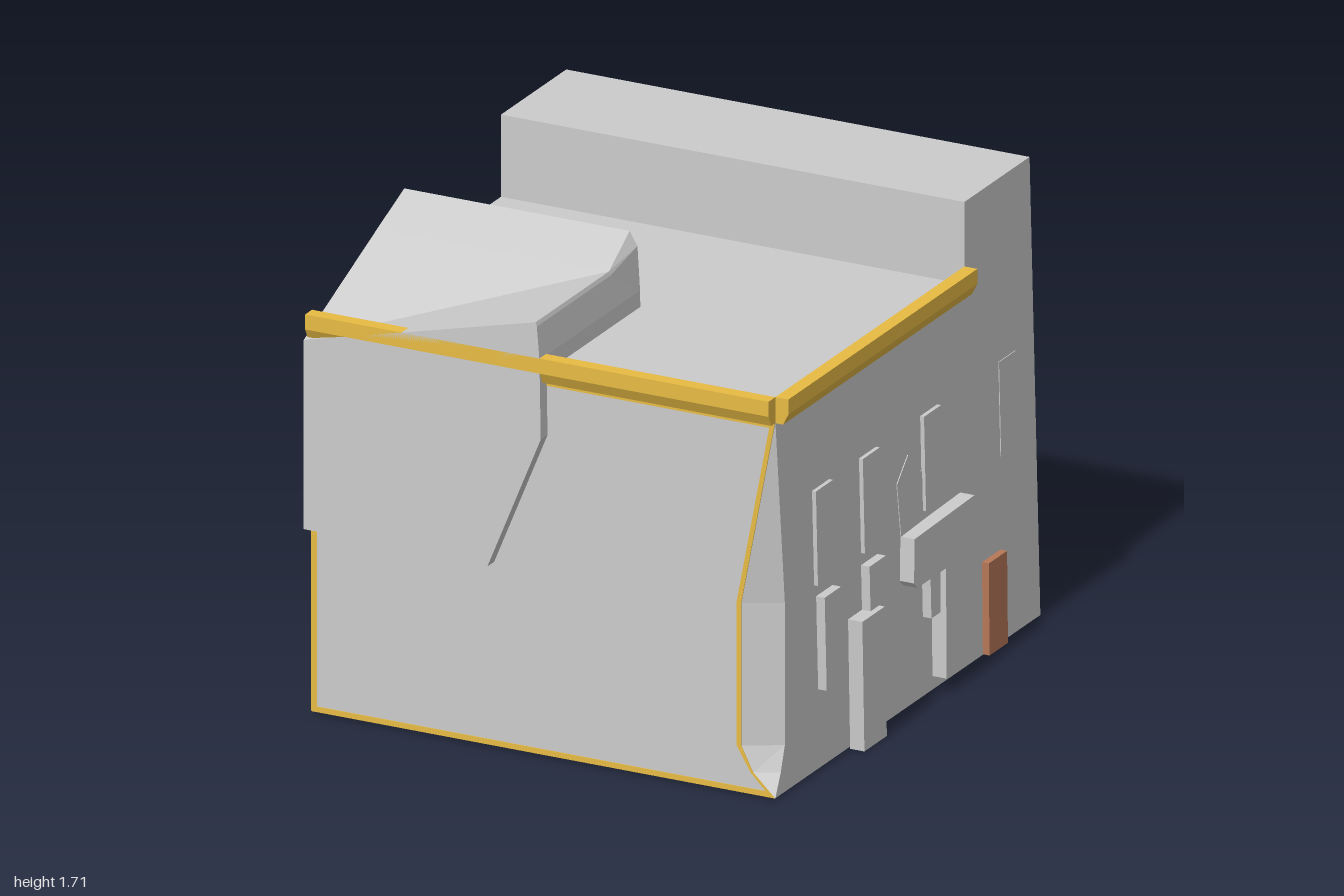
import * as THREE from 'three';

const material = (color) => new THREE.MeshStandardMaterial({ color, flatShading: true });
const grey = material(0xcccccc), yellow = material(0xe8bc44), brown = material(0xb87858);
const green = material(0xc8d0a8), dark = material(0x333333);

// Joins equal-length rings of [x, y, z] points, which run counter-clockwise, and caps both ends
function loft(rings) {
  const pos = [], n = rings[0].length;
  const tri = (...points) => points.forEach((p) => pos.push(...p));
  for (let i = 0; i < rings.length - 1; i++) {
    const a = rings[i], b = rings[i + 1];
    for (let j = 0; j < n; j++) {
      const k = (j + 1) % n;
      tri(a[j], a[k], b[k]);
      tri(a[j], b[k], b[j]);
    }
  }
  const first = rings[0], last = rings[rings.length - 1];
  for (let j = 1; j < n - 1; j++) {
    tri(first[0], first[j + 1], first[j]);
    tri(last[0], last[j], last[j + 1]);
  }
  const geometry = new THREE.BufferGeometry();
  geometry.setAttribute('position', new THREE.Float32BufferAttribute(pos, 3));
  geometry.computeVertexNormals();
  return geometry;
}

const shapeOf = (points) => new THREE.Shape(points.map(([x, y]) => new THREE.Vector2(x, y)));
const extrude = (shape, depth) => new THREE.ExtrudeGeometry(shape, { depth, bevelEnabled: false });

export function createModel() {
  const model = new THREE.Group();
  const add = (name, geometry, mat = grey, parent = model) => {
    const mesh = new THREE.Mesh(geometry, mat);
    mesh.name = name;
    parent.add(mesh);
    return mesh;
  };
  const L = -0.92, R = 0.86, F = 0.95;
  const backZ = (y) => -1 + 0.08 * y / 1.71;

  // Main block: leaning back wall and a hollowed front corner (height, cut in x, cut in z)
  const levels = [[0.01, 0.001, 0.001], [0.09, 0.085, 0.04], [0.18, 0.13, 0.07],
    [0.7, 0.13, 0.07], [1.38, 0.001, 0.001], [1.41, 0.001, 0.001]];
  add('mainBlock', loft(levels.map(([y, cx, cz]) => [
    [L, y, F], [R - cx, y, F], [R, y, F - cz], [R, y, backZ(y)], [L, y, backZ(y)],
  ])));

  // Raised parapet along the back
  add('backParapet', loft([1.4, 1.71].map((y) => [
    [L, y, -0.44], [R, y, -0.44], [R, y, backZ(y)], [L, y, backZ(y)],
  ])));

  // Thin frame around the front wall, following the hollowed corner
  const frame = shapeOf([[L, 0.01], ...levels.slice(0, 5).map(([y, cx]) => [R - cx, y]), [L, 1.38]]);
  frame.holes.push(new THREE.Path([[L + 0.02, 0.03], [0.825, 0.03], [0.765, 0.09], [0.712, 0.18],
    [0.712, 0.7], [0.838, 1.36], [L + 0.02, 1.36]].map(([x, y]) => new THREE.Vector2(x, y))));
  add('frontFrame', extrude(frame, 0.003), yellow).position.z = F;

  // Coloured facing on the far side wall
  const facing = extrude(shapeOf([[-F, 0.01], [0.73, 0.01], [0.73, 0.72], [0.45, 0.95],
    [0.45, 1.38], [-F, 1.38]]), 0.003).rotateY(Math.PI / 2);
  add('sideFacing', facing, yellow).position.x = L - 0.003;

  // Cornice bars with a bevelled lower edge
  const profile = [[0, 1.38], [0.03, 1.38], [0.05, 1.42], [0.05, 1.475], [0, 1.475]];
  const sideBar = extrude(shapeOf(profile), F + 0.44);
  add('sideCornice', sideBar, yellow).position.set(R, 0, -0.44);
  const frontBar = extrude(shapeOf(profile.map(([u, y]) => [-u, y]).reverse()), R - L);
  add('frontCornice', frontBar.rotateY(Math.PI / 2), yellow).position.set(L, 0, F);

  // Slanted overhang wrapping over the front edge of the roof
  const overhang = [
    [0.26, [[-0.02, 1.47], [-0.03, 1.63], [-0.06, 1.68], [-0.926, 1.68]]],
    [0.46, [[-0.02, 1.47], [-0.03, 1.59], [-0.035, 1.605], [-0.926, 1.6]]],
    [1.0, [[-0.02, 1.47], [-0.03, 1.59], [-0.035, 1.605], [-0.926, 1.38]]],
  ];
  add('overhang', loft(overhang.map(([z, top]) =>
    [[-0.926, 0.69], [-0.22, 0.68], [-0.015, 1.18], ...top].map(([x, y]) => [x, y, z]))));

  // Raised panels on the side wall, outlined as [z, y] corners
  const wall = new THREE.Group();
  wall.name = 'sideWallPanels';
  model.add(wall);
  const panel = (name, corners, depth, mat = grey) => {
    const geometry = extrude(shapeOf(corners.map(([z, y]) => [-z, y])), depth);
    add(name, geometry.rotateY(Math.PI / 2), mat, wall).position.x = R;
  };
  // Slightly skewed upright panel: front edge z, top, bottom, width, depth
  const upright = (name, z, top, bottom, width, depth, mat, skew = 0.015) => panel(name,
    [[z, top], [z - skew, bottom], [z - skew - width, bottom], [z - width, top]], depth, mat);
  for (const z of [0.68, 0.335, -0.115]) upright('upperPanel', z, 1.04, 0.69, 0.125, 0.015);
  upright('flushPanel', -0.69, 1.04, 0.69, 0.125, 0.003);
  for (const z of [0.65, 0.32, -0.12]) upright('lowerPanel', z, 0.645, 0.3, 0.12, 0.033);
  upright('tallPanel', 0.415, 0.48, 0.002, 0.165, 0.055);
  upright('door', -0.57, 0.35, 0.012, 0.135, 0.026, brown, 0.006);
  panel('flushPatch', [[0.06, 0.85], [0.03, 0.65], [-0.25, 0.66], [-0.22, 0.84], [-0.11, 0.84],
    [-0.115, 0.89], [-0.02, 0.93]], 0.003);
  panel('branchedPanel', [[0.03, 0.65], [0.035, 0.49], [0.01, 0.465], [-0.2, 0.465], [-0.205, 0.06],
    [-0.4, 0.18], [-0.305, 0.475], [-0.43, 0.555], [-0.41, 0.66]], 0.055);

  // Plaque with a dark round boss on the back
  const plaque = new THREE.Group();
  plaque.name = 'backPlaque';
  plaque.position.set(-0.03, 1.545, -0.94);
  model.add(plaque);
  add('plate', new THREE.BoxGeometry(0.44, 0.115, 0.045), green, plaque);
  add('boss', new THREE.CylinderGeometry(0.04, 0.04, 0.01, 16).rotateX(Math.PI / 2).scale(1.2, 0.7, 1),
    dark, plaque).position.z = -0.02;

  return model;
}
